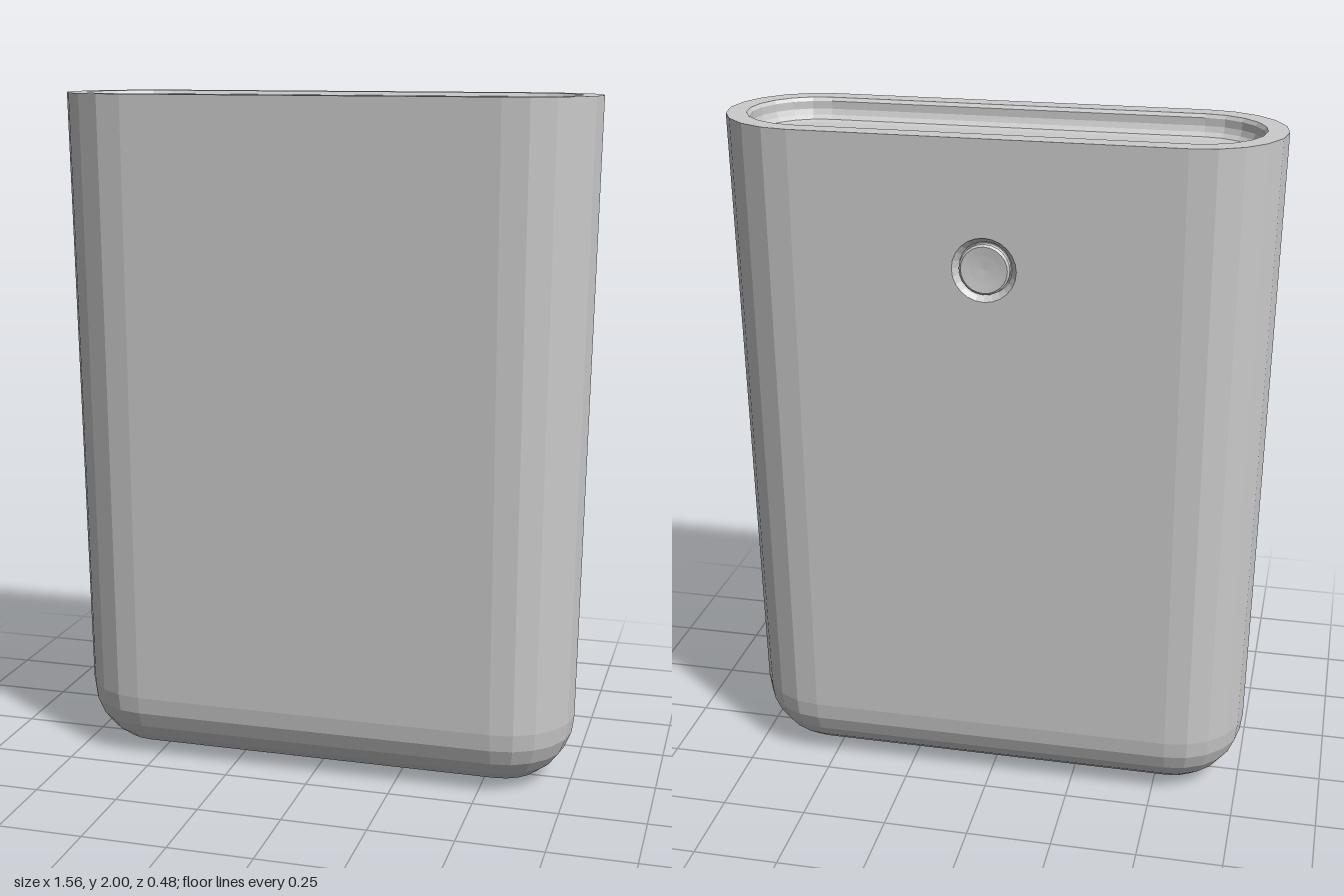
import * as THREE from 'three';

const L = 0.54;          // half length of the straight sides
const ARC = 10;          // facets in each rounded end
const FLOOR = 1.937;     // level of the sunken port panel
const mat = new THREE.MeshStandardMaterial({ color: 0xcccccc, flatShading: true });

function part(parent, name, geometry, x = 0, y = 0, z = 0) {
  const m = new THREE.Mesh(geometry, mat);
  m.name = name;
  m.position.set(x, y, z);
  parent.add(m);
  return m;
}

// Outline with two round ends, as [x, z] points
function stadium(half, r, arc = ARC) {
  const pts = [];
  for (const side of [1, -1])
    for (let i = 0; i <= arc; i++) {
      const a = -Math.PI / 2 + (i / arc) * Math.PI;
      pts.push(new THREE.Vector2(side * (half + r * Math.cos(a)), side * r * Math.sin(a)));
    }
  return pts;
}

function rect(w, h) {
  return [[-1, -1], [1, -1], [1, 1], [-1, 1]].map(([a, b]) => new THREE.Vector2(a * w / 2, b * h / 2));
}

// Moves an outline to x, z (a shape's y becomes -z once laid flat)
const place = (pts, x, z) => pts.map(p => new THREE.Vector2(p.x + x, p.y - z));

function flatShape(outline, holes = []) {
  const s = new THREE.Shape(outline);
  s.holes = holes.map(h => new THREE.Path(h));
  return s;
}

// Joins round-ended sections along a profile of [radius, y]; skip leaves out the back panel of one row
function loft(profile, skip) {
  const rings = profile.map(([r, y]) => stadium(L, r).map(p => [p.x, y, p.y]));
  const pos = [];
  for (let j = 0; j < rings.length - 1; j++) {
    const n = rings[j].length;
    for (let i = 0; i < n; i++) {
      if (j === skip && i === n - 1) continue;
      const k = (i + 1) % n;
      const a = rings[j][i], b = rings[j + 1][i], c = rings[j][k], d = rings[j + 1][k];
      pos.push(...a, ...b, ...c, ...c, ...b, ...d);
    }
  }
  const g = new THREE.BufferGeometry();
  g.setAttribute('position', new THREE.Float32BufferAttribute(pos, 3));
  g.computeVertexNormals();
  return g;
}

// Thin metal sleeve sunk into the panel, with a closed end
function sleeve(parent, outer, inner, depth) {
  const shell = new THREE.ExtrudeGeometry(flatShape(outer, [inner]), { depth, bevelEnabled: false });
  part(parent, 'portShell', shell.rotateX(-Math.PI / 2), 0, -depth - 0.004, 0);
  const end = new THREE.ShapeGeometry(flatShape(outer)).rotateX(-Math.PI / 2);
  part(parent, 'portEnd', end, 0, -depth, 0);
}

function largePort(x) {
  const g = new THREE.Group();
  g.name = 'largePort';
  g.position.set(x, FLOOR, -0.003);
  sleeve(g, rect(0.25, 0.115), rect(0.23, 0.095), 0.16);
  part(g, 'tongue', new THREE.BoxGeometry(0.2, 0.13, 0.032), 0, -0.09, -0.022);
  for (let i = 0; i < 4; i++)
    part(g, 'contact', new THREE.BoxGeometry(0.017, 0.11, 0.016), -0.066 + i * 0.044, -0.1, 0.002);
  // Spring tabs on both long walls
  for (const sx of [-1, 1])
    for (const sz of [-1, 1])
      part(g, 'springTab', new THREE.BoxGeometry(0.035, 0.05, 0.01), sx * 0.055, -0.06, sz * 0.044);
  return g;
}

function smallPort(x, z) {
  const g = new THREE.Group();
  g.name = 'smallPort';
  g.position.set(x, FLOOR, z);
  sleeve(g, stadium(0.055, 0.031, 8), stadium(0.055, 0.023, 8), 0.12);
  part(g, 'tongue', new THREE.BoxGeometry(0.115, 0.1, 0.014), 0, -0.07, 0);
  return g;
}

export function createModel() {
  const model = new THREE.Group();
  model.name = 'powerBank';

  // Body: rounded bottom, slightly flaring sides, flat rim and filleted recess
  const profile = [[0, 0]];
  for (let i = 0; i <= 6; i++) {
    const a = (i / 6) * Math.PI / 2;
    profile.push([0.015 + 0.2 * Math.sin(a), 0.2 - 0.2 * Math.cos(a)]);
  }
  const wallRow = profile.length - 1;
  profile.push([0.242, 2], [0.185, 2], [0.178, 1.99], [0.178, 1.968],
    [0.172, 1.952], [0.16, 1.941], [0.14, FLOOR]);
  part(model, 'body', loft(profile, wallRow));

  // Back panel with a round opening for the button
  const buttonY = 1.64, buttonR = 0.09, slope = 0.027 / 1.8;
  const backZ = y => -(0.215 + (y - 0.2) * slope);
  const panel = new THREE.Shape([[-L, 0.2], [L, 0.2], [L, 2], [-L, 2]].map(p => new THREE.Vector2(...p)));
  panel.holes.push(new THREE.Path().absarc(0, buttonY, buttonR, 0, Math.PI * 2, true));
  const back = new THREE.ShapeGeometry(panel, 12).rotateY(Math.PI);
  const bp = back.attributes.position;
  for (let i = 0; i < bp.count; i++) bp.setZ(i, backZ(bp.getY(i)));
  back.computeVertexNormals();
  part(model, 'backPanel', back);

  // Dished button in a sloped seat
  const dish = [[buttonR, 0], [0.079, -0.012], [0.074, -0.022], [0.071, -0.022],
    [0.071, -0.006], [0.065, -0.001], [0.04, -0.004], [0, -0.007]];
  const button = new THREE.LatheGeometry(dish.map(p => new THREE.Vector2(...p)), 24);
  part(model, 'button', button.rotateX(-Math.PI / 2 + Math.atan(slope)), 0, buttonY, backZ(buttonY));

  // Port panel with openings
  const largeX = [-0.22, 0.14], small = [-0.515, -0.031];
  const lights = [0.375, 0.439, 0.503, 0.567];
  const dot = new THREE.Path().absarc(0, 0, 0.015, 0, Math.PI * 2).getPoints(12).slice(0, 12);
  const holes = [
    ...largeX.map(x => place(rect(0.25, 0.115), x, -0.003)),
    place(stadium(0.055, 0.031, 8), ...small),
    ...lights.map(x => place(dot, x, -0.002)),
  ];
  const floor = new THREE.ShapeGeometry(flatShape(stadium(L, 0.14), holes)).rotateX(-Math.PI / 2);
  part(model, 'portPanel', floor, 0, FLOOR, 0);

  for (const x of largeX) model.add(largePort(x));
  model.add(smallPort(...small));

  // Charge indicator lights
  for (const x of lights)
    part(model, 'indicatorLight', new THREE.CylinderGeometry(0.015, 0.015, 0.02, 12), x, FLOOR - 0.012, -0.002);

  return model;
}
